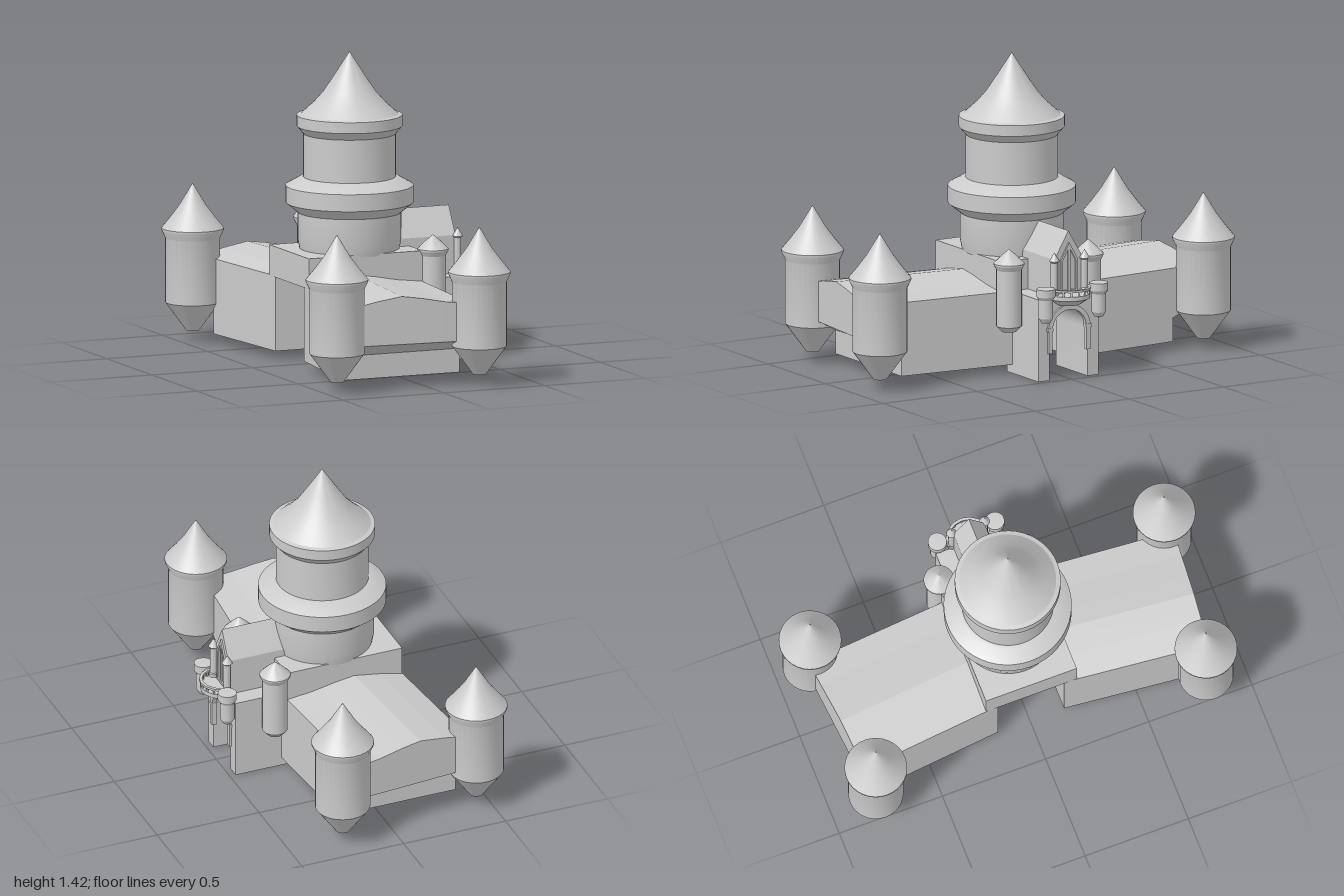
import * as THREE from 'three';
import { toCreasedNormals } from 'three/addons/utils/BufferGeometryUtils.js';

const stone = new THREE.MeshStandardMaterial({ color: 0xcccccc });
const thinStone = new THREE.MeshStandardMaterial({ color: 0xcccccc, side: THREE.DoubleSide });
const lerp = THREE.MathUtils.lerp;

function add(parent, name, geometry, x = 0, y = 0, z = 0, material = stone) {
  const mesh = new THREE.Mesh(geometry, material);
  mesh.name = name;
  mesh.position.set(x, y, z);
  parent.add(mesh);
  return mesh;
}

// Turned part from [radius, height] pairs, bottom to top
function turned(profile, sides = 32, start = 0, sweep = Math.PI * 2) {
  const points = profile.map(([r, y]) => new THREE.Vector2(r, y));
  return toCreasedNormals(new THREE.LatheGeometry(points, sides, start, sweep), 0.45);
}

// Shape drawn as seen from +x, extruded along x from x0 to x1
function extrudeX(shape, x0, x1) {
  const g = new THREE.ExtrudeGeometry(shape, { depth: x1 - x0, bevelEnabled: false, curveSegments: 16 });
  g.rotateY(Math.PI / 2).translate(x0, 0, 0);
  return toCreasedNormals(g, 0.5);
}

function polygon(points) {
  return new THREE.Shape(points.map(([a, b]) => new THREE.Vector2(a, b)));
}

// Wing: side outlines lofted across x, with a low ridged roof and undercut end
function wingGeometry(side) {
  const roof = [[0, 0.385], [0.2, 0.41], [0.42, 0.43], [0.58, 0.417], [0.78, 0.395], [1, 0.38]];
  const sections = roof.map(([u, top]) => {
    const end = lerp(0.835, 0.885, u);
    return [[0.16, top], [0.16, 0.04], [0.72, 0.04], [0.72, 0.15], [end, 0.21], [end, top]]
      .map(([z, y]) => [lerp(-0.3 - 0.1 * z, 0.26 - 0.08 * z, u), y, z * side]);
  });
  const positions = [];
  const tri = (a, b, c) => positions.push(...a, ...(side > 0 ? b : c), ...(side > 0 ? c : b));
  const count = sections[0].length;
  for (let i = 0; i < sections.length - 1; i++) {
    for (let j = 0; j < count; j++) {
      const k = (j + 1) % count;
      const [a, b, c, d] = [sections[i][j], sections[i][k], sections[i + 1][k], sections[i + 1][j]];
      tri(a, d, c);
      tri(a, c, b);
    }
  }
  const first = sections[0], last = sections[sections.length - 1];
  for (let j = 1; j < count - 1; j++) {
    tri(first[0], first[j], first[j + 1]);
    tri(last[0], last[j + 1], last[j]);
  }
  const g = new THREE.BufferGeometry();
  g.setAttribute('position', new THREE.Float32BufferAttribute(positions, 3));
  g.computeVertexNormals();
  return g;
}

// Arch outline: half width w, springing height s
function archPath(path, w, base, s) {
  path.moveTo(w, base);
  path.lineTo(w, s);
  path.absarc(0, s, w, 0, Math.PI, false);
  path.lineTo(-w, base);
  return path;
}

export function createModel() {
  const castle = new THREE.Group();
  castle.name = 'castle';

  // Central block bridging the passage
  add(castle, 'centralBlock', new THREE.BoxGeometry(0.565, 0.14, 0.44), -0.0375, 0.45, 0);

  // Great tower
  add(castle, 'greatTower', turned([
    [0, 0.5], [0.225, 0.51], [0.235, 0.56], [0.235, 0.685], [0.29, 0.73], [0.29, 0.808],
    [0.225, 0.845], [0.21, 0.847], [0.21, 1.045], [0.24, 1.08], [0.24, 1.13], [0.22, 1.135],
    [0.165, 1.185], [0.12, 1.235], [0.07, 1.31], [0, 1.42],
  ], 48), -0.02, 0, 0);

  // Wings and corner towers
  const cornerTower = turned([
    [0, 0.05], [0.03, 0.05], [0.07, 0.105], [0.125, 0.18], [0.125, 0.475], [0.142, 0.512],
    [0.142, 0.52], [0.105, 0.565], [0.06, 0.625], [0, 0.725],
  ]);
  for (const side of [1, -1]) {
    add(castle, 'wing', wingGeometry(side));
    add(castle, 'frontCornerTower', cornerTower, 0.24, 0, side * 0.858);
    add(castle, 'rearCornerTower', cornerTower, -0.44, 0, side * 0.8);
  }

  // Gatehouse
  const gate = new THREE.Group();
  gate.name = 'gatehouse';
  castle.add(gate);

  // Lower walls with the arched passage cut from below
  const walls = new THREE.Shape();
  walls.moveTo(-0.1, 0);
  walls.lineTo(-0.16, 0);
  walls.lineTo(-0.16, 0.38);
  walls.lineTo(0.16, 0.38);
  walls.lineTo(0.16, 0);
  walls.lineTo(0.1, 0);
  walls.lineTo(0.1, 0.22);
  walls.absarc(0, 0.22, 0.1, 0, Math.PI, false);
  add(gate, 'gateWalls', extrudeX(walls, 0.2, 0.472));

  // Gabled upper storey
  add(gate, 'gable', extrudeX(polygon([
    [-0.075, 0.37], [0.075, 0.37], [0.075, 0.555], [0, 0.683], [-0.075, 0.555],
  ]), 0.15, 0.472));

  // Arch surround
  const trim = new THREE.Shape();
  trim.moveTo(0.115, 0.23);
  trim.absarc(0, 0.23, 0.112, 0, Math.PI, false);
  trim.lineTo(-0.09, 0.23);
  trim.absarc(0, 0.23, 0.09, Math.PI, 0, true);
  add(gate, 'archTrim', extrudeX(trim, 0.46, 0.482));

  // Pointed window frame
  const frame = polygon([[-0.045, 0.4], [0.045, 0.4], [0.045, 0.55], [0, 0.63], [-0.045, 0.55]]);
  for (const s of [-1, 1]) {
    frame.holes.push(new THREE.Path([
      [s * 0.006, 0.41], [s * 0.035, 0.41], [s * 0.035, 0.545], [s * 0.006, 0.6],
    ].map(([a, b]) => new THREE.Vector2(a, b))));
  }
  add(gate, 'windowFrame', extrudeX(frame, 0.47, 0.48));

  // Half-round balcony with rail
  add(gate, 'balcony', turned([
    [0, 0.34], [0.055, 0.345], [0.09, 0.37], [0.1, 0.375], [0.1, 0.395], [0, 0.395],
  ], 8, 0, Math.PI), 0.472, 0, 0, thinStone);
  add(gate, 'balconyRail', turned([
    [0.09, 0.415], [0.104, 0.415], [0.104, 0.425], [0.09, 0.425], [0.09, 0.415],
  ], 8, 0, Math.PI), 0.472, 0, 0, thinStone);
  for (let i = 0; i <= 8; i++) {
    const a = (i / 8) * Math.PI;
    add(gate, 'baluster', new THREE.CylinderGeometry(0.005, 0.005, 0.03, 6),
      0.472 + 0.094 * Math.sin(a), 0.405, 0.094 * Math.cos(a));
  }

  // Paired parts either side of the gate
  const sideTurret = turned([
    [0, 0.205], [0.035, 0.21], [0.058, 0.235], [0.058, 0.495], [0.07, 0.518],
    [0.07, 0.525], [0.035, 0.56], [0, 0.59],
  ], 24);
  const smallTurret = turned([
    [0, 0.275], [0.02, 0.278], [0.033, 0.3], [0.033, 0.385], [0.043, 0.4], [0.043, 0.435], [0, 0.437],
  ], 20);
  const pinnacle = turned([
    [0, 0.39], [0.02, 0.39], [0.02, 0.41], [0.016, 0.415], [0.016, 0.545], [0.024, 0.552], [0.018, 0.562], [0, 0.592],
  ], 12);
  for (const side of [1, -1]) {
    add(gate, 'sideTurret', sideTurret, 0.3, 0, side * 0.21);
    add(gate, 'smallTurret', smallTurret, 0.505, 0, side * 0.14);
    add(gate, 'pinnacle', pinnacle, 0.48, 0, side * 0.08);
    add(gate, 'archColumn', new THREE.BoxGeometry(0.02, 0.11, 0.02), 0.472, 0.18, side * 0.1);
    add(gate, 'archCapital', new THREE.BoxGeometry(0.024, 0.015, 0.028), 0.472, 0.235, side * 0.101);
  }

  return castle;
}
